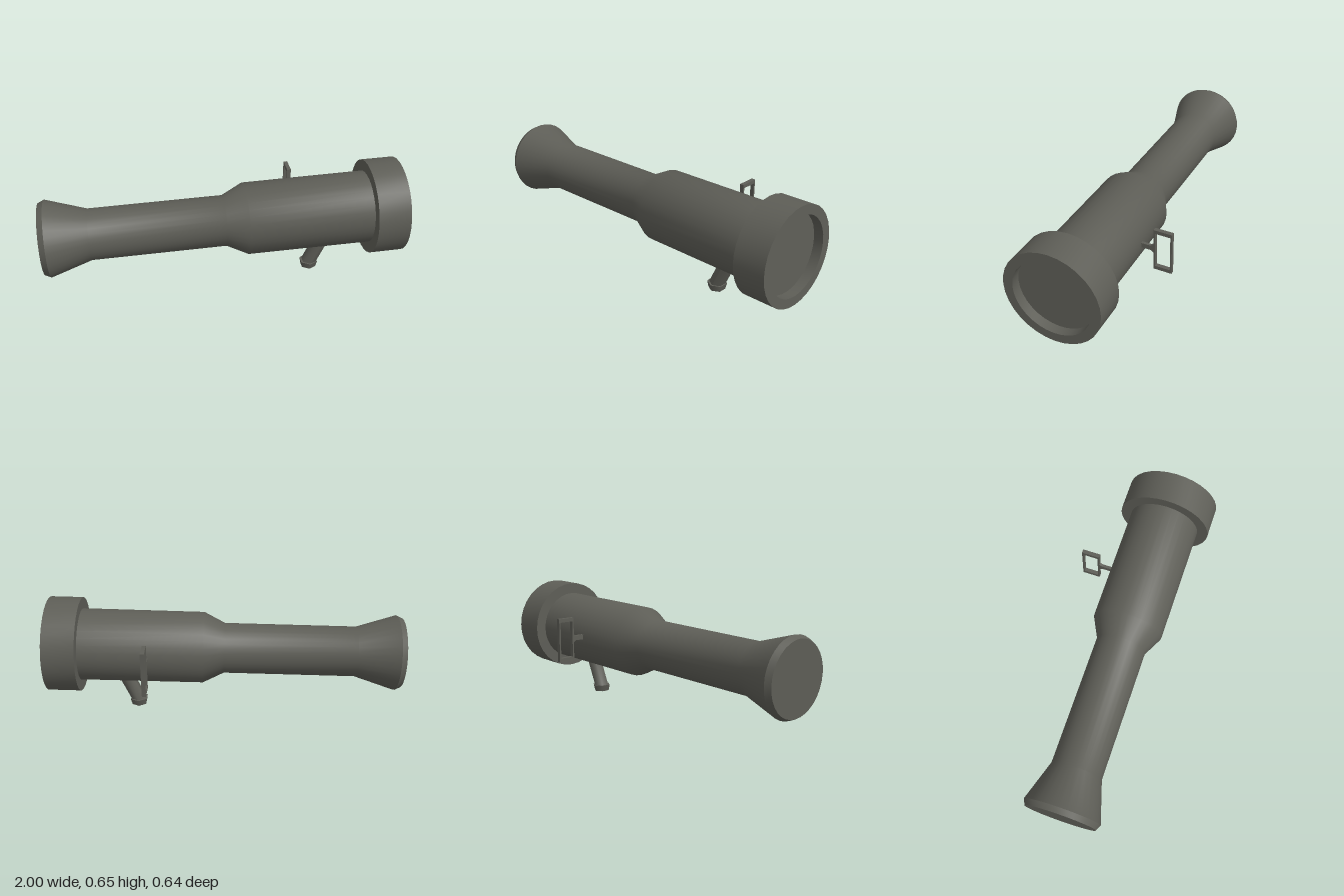
import * as THREE from 'three';
import { toCreasedNormals } from 'three/addons/utils/BufferGeometryUtils.js';

export function createModel() {
  const model = new THREE.Group();
  model.name = 'launcherTube';
  const metal = new THREE.MeshStandardMaterial({ color: 0x5e5e57 });
  metal.name = 'dark olive metal';

  const add = (parent, name, geometry, x = 0, y = 0, z = 0) => {
    const mesh = new THREE.Mesh(geometry, metal);
    mesh.name = name;
    mesh.position.set(x, y, z);
    parent.add(mesh);
    return mesh;
  };
  const lathe = (points) => toCreasedNormals(
    new THREE.LatheGeometry(points.map(([r, h]) => new THREE.Vector2(r, h)), 32), 0.5);

  // Tube parts share one slightly raised axis, running from back (-x) to muzzle (+x)
  const barrel = new THREE.Group();
  barrel.name = 'barrel';
  barrel.position.set(0, 0.36, 0.053);
  barrel.rotation.z = -Math.PI / 2 + 0.025;
  model.add(barrel);

  // Flared tail, slim tube, shoulder and wide tube
  add(barrel, 'tubeBody', lathe([
    [0, -0.995], [0.198, -0.995], [0.213, -0.963], [0.142, -0.738],
    [0.142, 0.005], [0.201, 0.123], [0.203, 0.83],
  ]));
  // Muzzle collar with recessed end face
  add(barrel, 'muzzleCollar', lathe([
    [0.19, 0.812], [0.266, 0.812], [0.266, 0.993], [0.214, 0.993], [0.214, 0.94], [0, 0.94],
  ]));

  // Raked six-sided grip: a straight prism sheared forward towards its top
  const grip = new THREE.CylinderGeometry(0.045, 0.045, 0.2, 6);
  const shear = new THREE.Matrix4().makeShear(0, 0, 0.45, 0, 0, 0);
  shear.set(1, 0.45, 0, 0, 0, 1, 0, 0, 0, 0, 1, 0, 0, 0, 0, 1);
  grip.applyMatrix4(shear);
  grip.computeVertexNormals();
  add(model, 'grip', grip, 0.55, 0.13, 0.053);
  add(model, 'gripFoot', new THREE.CylinderGeometry(0.054, 0.046, 0.036, 6), 0.506, 0.02, 0.053)
    .rotation.z = -0.025;

  // Rectangular sight frame on the back side
  const frame = new THREE.Shape([
    [-0.051, -0.126], [0.051, -0.126], [0.051, 0.126], [-0.051, 0.126],
  ].map((p) => new THREE.Vector2(...p)));
  frame.holes.push(new THREE.Path([
    [-0.0415, -0.105], [-0.0415, 0.105], [0.0415, 0.105], [0.0415, -0.105],
  ].map((p) => new THREE.Vector2(...p))));
  const frameGeometry = new THREE.ExtrudeGeometry(frame, { depth: 0.022, bevelEnabled: false });
  frameGeometry.translate(0, 0, -0.011);
  frameGeometry.rotateY(Math.PI / 2);
  add(model, 'sightFrame', frameGeometry, 0.43, 0.371, -0.269);

  // Sight bracket: thin post widening where it meets the frame
  add(model, 'sightPost', new THREE.BoxGeometry(0.016, 0.028, 0.08), 0.43, 0.374, -0.175);
  const flare = new THREE.Shape([
    [-0.2, 0.36], [-0.2, 0.388], [-0.219, 0.4], [-0.219, 0.347],
  ].map(([z, y]) => new THREE.Vector2(-z, y)));
  const flareGeometry = new THREE.ExtrudeGeometry(flare, { depth: 0.016, bevelEnabled: false });
  flareGeometry.translate(0, 0, -0.008);
  flareGeometry.rotateY(Math.PI / 2);
  add(model, 'sightPostFlare', flareGeometry, 0.43, 0, 0);

  return model;
}
